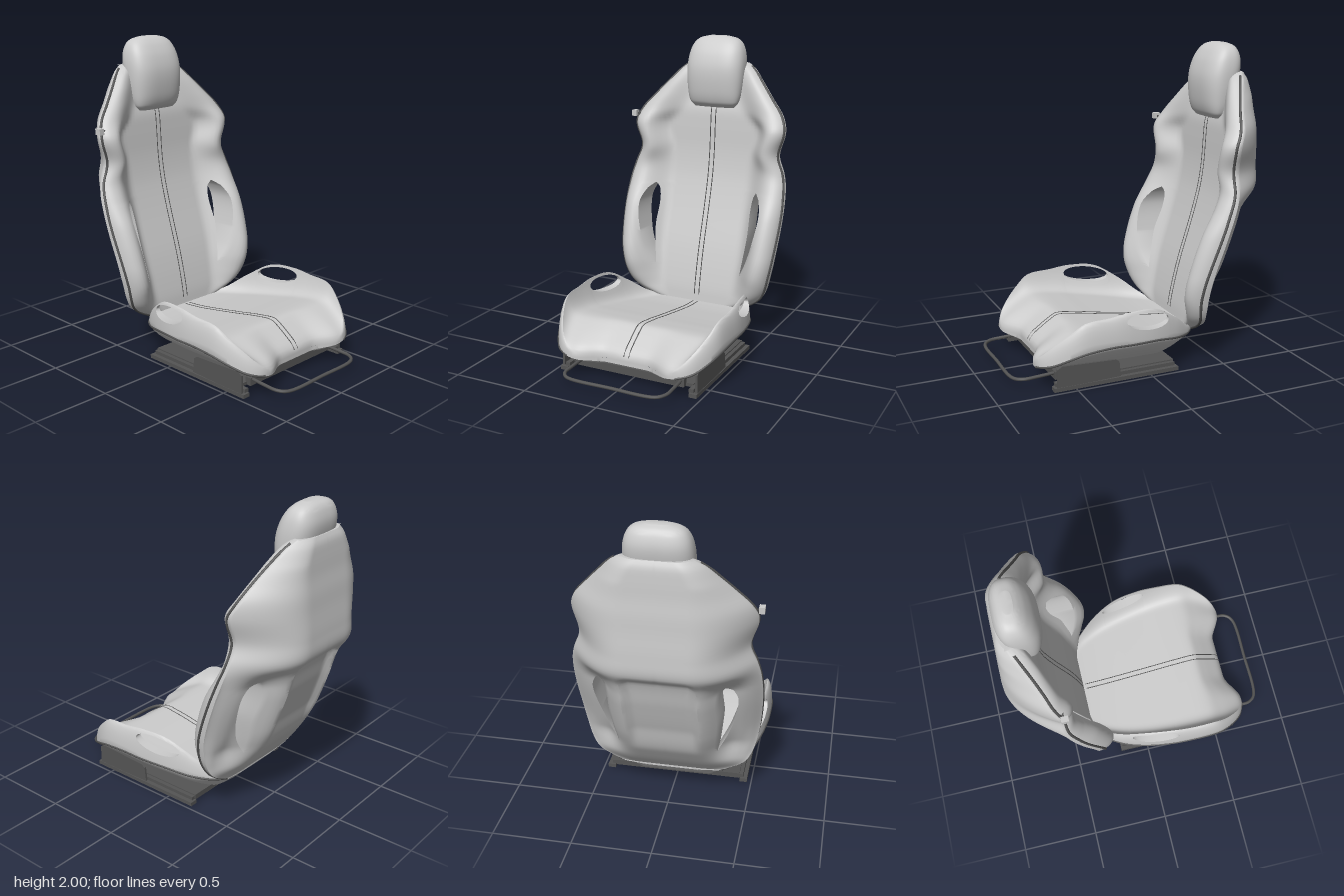
import * as THREE from 'three';
import { toCreasedNormals } from 'three/addons/utils/BufferGeometryUtils.js';

const { sin, cos, sqrt, min, max, pow, PI } = Math;
const range = (n, f) => Array.from({ length: n }, (_, i) => f(i / (n - 1)));
const lerp = THREE.MathUtils.lerp, clamp = THREE.MathUtils.clamp;
const step = (x, a, b) => THREE.MathUtils.smoothstep(x, a, b);

const grey = new THREE.MeshStandardMaterial({ color: 0xcccccc });
const dark = new THREE.MeshStandardMaterial({ color: 0x555555 });

// Smooth interpolation of a key table; the first column is the parameter, ascending.
function sample(keys, v) {
  v = clamp(v, keys[0][0], keys[keys.length - 1][0]);
  let k = 0;
  while (k < keys.length - 2 && v > keys[k + 1][0]) k++;
  const p = keys[k], q = keys[k + 1], h = q[0] - p[0], t = (v - p[0]) / h;
  const slope = (i, c) => {
    const a = keys[max(i - 1, 0)], b = keys[min(i + 1, keys.length - 1)];
    return (b[c] - a[c]) / (b[0] - a[0]);
  };
  return p.map((_, c) => {
    const t2 = t * t, t3 = t2 * t;
    return (2 * t3 - 3 * t2 + 1) * p[c] + (t3 - 2 * t2 + t) * h * slope(k, c)
      + (3 * t2 - 2 * t3) * q[c] + (t3 - t2) * h * slope(k + 1, c);
  });
}

// Mirrored closed shell from half cross-sections. The ends are closed by flattening along the given axis.
// Columns a..a+1 and c..c+1 may open into a through hole.
function shell(sections, axis, a = -1, c = -1, crease = 0.75) {
  const flat = (R) => {
    const mid = (R[0][axis] + R[R.length - 1][axis]) / 2;
    return R.map((p) => p.map((v, i) => (i === axis ? mid : v)));
  };
  const rows = [flat(sections[0]), ...sections, flat(sections[sections.length - 1])];
  const pos = [], m = rows[0].length;
  const A = new THREE.Vector3(), B = new THREE.Vector3(), C = new THREE.Vector3();
  const tri = (p, q, r) => {
    A.fromArray(p); B.fromArray(q).sub(A); C.fromArray(r).sub(A);
    if (B.cross(C).length() < 1e-9) return;
    pos.push(...p, ...q, ...r);
    for (const v of [p, r, q]) pos.push(-v[0], v[1], v[2]);
  };
  const gap = (R) => A.fromArray(R[a]).distanceTo(B.fromArray(R[a + 1])) > 1e-4;
  for (let j = 0; j < rows.length - 1; j++) {
    const R = rows[j], S = rows[j + 1];
    const span = (i, k) => { tri(R[i], R[k], S[k]); tri(R[i], S[k], S[i]); };
    for (let i = 0; i < m - 1; i++) if (a < 0 || (i !== a && i !== c)) span(i, i + 1);
    if (a >= 0 && (gap(R) || gap(S))) { span(a, c + 1); span(c, a + 1); }
  }
  const g = new THREE.BufferGeometry();
  g.setAttribute('position', new THREE.Float32BufferAttribute(pos, 3));
  return toCreasedNormals(g, crease);
}

// Backrest: y, half width, centre front, bolster front, edge, back, bolster start
const BACK = [
  [0.205, 0.33, -0.357, -0.35, -0.365, -0.375, 0.22],
  [0.28, 0.46, -0.365, -0.30, -0.37, -0.44, 0.24],
  [0.36, 0.515, -0.38, -0.265, -0.36, -0.50, 0.25],
  [0.47, 0.545, -0.405, -0.24, -0.36, -0.575, 0.26],
  [0.60, 0.565, -0.44, -0.255, -0.38, -0.645, 0.27],
  [0.84, 0.58, -0.515, -0.335, -0.46, -0.735, 0.27],
  [1.02, 0.572, -0.565, -0.435, -0.525, -0.79, 0.27],
  [1.12, 0.55, -0.585, -0.475, -0.555, -0.85, 0.27],
  [1.24, 0.508, -0.60, -0.47, -0.57, -0.855, 0.28],
  [1.40, 0.55, -0.61, -0.475, -0.56, -0.845, 0.31],
  [1.50, 0.515, -0.62, -0.53, -0.60, -0.84, 0.21],
  [1.60, 0.43, -0.65, -0.575, -0.64, -0.83, 0.14],
  [1.70, 0.34, -0.68, -0.62, -0.69, -0.825, 0.10],
  [1.785, 0.26, -0.71, -0.67, -0.735, -0.817, 0.08],
  [1.82, 0.205, -0.74, -0.715, -0.755, -0.80, 0.06],
];
// Side slot: y, inner edge, outer edge
const SLOT = [
  [0.43, 0.315, 0.315], [0.55, 0.33, 0.375], [0.70, 0.345, 0.422],
  [0.86, 0.34, 0.445], [0.95, 0.352, 0.415], [0.985, 0.375, 0.375],
];
function backRow(y) {
  const [, W, Fc, Fp, E, Bc, xb] = sample(BACK, y);
  let [, xin, xout] = sample(SLOT, y);
  if (y <= 0.43 || y >= 0.985) xin = xout = min(xin, 0.7 * W);
  const front = (x) => {
    const xp = 0.84 * W;
    if (x < xp) return lerp(Fc, Fp, step(x, xb, xp));
    return E + (Fp - E) * sqrt(max(0, 1 - ((x - xp) / (W - xp)) ** 2));
  };
  const plateau = min(0.18, 0.5 * W), power = lerp(1.25, 0.95, step(y, 0.95, 1.15));
  const back = (x) => {
    const t = max(0, x - plateau) / (W - plateau), round = pow(max(0, 1 - t * t), power);
    const dent = 0.07 * Math.exp(-(((x - 0.38) / 0.09) ** 2)) * step(y, 0.3, 0.48) * (1 - step(y, 0.93, 1.1));
    const pocket = 0.04 * (1 - step(x, 0.17, 0.23)) * step(y, 0.42, 0.65) * (1 - step(y, 1.03, 1.1));
    return E + (Bc - E) * round + (dent + pocket) * min(1, 4 * round);
  };
  const inner = range(16, (t) => t * xin);
  const outer = range(13, (t) => lerp(xout, W, sin(t * PI / 2)));
  const xs = [...inner, ...outer];
  return [...xs.map((x) => [x, y, front(x)]), ...xs.reverse().map((x) => [x, y, back(x)])];
}

// Cushion: z, half width, centre top, bolster top, side seam, bottom
const SEAT = [
  [-0.36, 0.31, 0.205, 0.212, 0.195, 0.18], [-0.30, 0.385, 0.208, 0.25, 0.20, 0.12],
  [-0.18, 0.47, 0.22, 0.345, 0.22, 0.04], [-0.02, 0.53, 0.245, 0.44, 0.25, 0.045],
  [0.16, 0.56, 0.275, 0.455, 0.26, 0.055], [0.30, 0.567, 0.30, 0.44, 0.265, 0.06],
  [0.46, 0.56, 0.315, 0.425, 0.25, 0.07], [0.55, 0.535, 0.285, 0.36, 0.22, 0.08],
  [0.65, 0.475, 0.235, 0.27, 0.17, 0.09], [0.70, 0.42, 0.20, 0.21, 0.15, 0.10],
  [0.72, 0.37, 0.17, 0.175, 0.14, 0.115],
];
// Front edge is set back between the thighs
const notch = (x, z) => z - 0.08 * (1 - step(x, 0.14, 0.33)) * step(z, 0.35, 0.72);
function seatRow(z) {
  const [, W, yc, yp, yo, yb] = sample(SEAT, z);
  const x0 = 0.68 * W, xp = 0.93 * W, xb = 0.5 * W;
  const u = (z - 0.045) / 0.155, mid = 0.383 + 0.12 * (z - 0.045);
  const half = 0.052 * sqrt(max(0, 1 - u * u));
  const frac = (y) => clamp((y - yc) / (yp - yc), 0.3, 0.93);
  const gl = frac(mid - half), gh = half < 1e-4 ? gl : frac(mid + half);
  const xAt = (g) => x0 + (xp - x0) * pow(g, 0.25);
  const top = (x) => [x, yc + (yp - yc) * pow(clamp((x - x0) / (xp - x0), 0, 1), 4)];
  const aAt = (g) => Math.asin(clamp((yc + g * (yp - yc) - yo) / (yp - yo), 0, 1));
  const side = (a) => [xp + (W - xp) * cos(a), yo + (yp - yo) * sin(a)];
  const under = (a) => [xb + (W - xb) * cos(a) ** 2, yo + (yb - yo) * pow(sin(a), 1.4)];
  return [
    ...range(22, (t) => top(sqrt(t) * xAt(gl))),
    ...range(6, (t) => top(lerp(xAt(gh), xp, t))),
    ...range(6, (t) => side(lerp(PI / 2, aAt(gh), t))),
    ...range(6, (t) => side(lerp(aAt(gl), 0, t))),
    ...range(8, (t) => under(t * PI / 2)),
    ...range(8, (t) => [xb * (1 - t), yb]),
  ].map(([x, y]) => [x, y, notch(x, z)]);
}

// Headrest: y, half width, front, back
const HEAD = [
  [1.525, 0.145, -0.60, -0.66], [1.56, 0.175, -0.568, -0.70], [1.65, 0.195, -0.545, -0.75],
  [1.78, 0.203, -0.54, -0.785], [1.88, 0.195, -0.565, -0.80], [1.95, 0.17, -0.605, -0.785],
  [1.985, 0.13, -0.64, -0.76], [2.0, 0.07, -0.665, -0.73],
];
function headRow(y) {
  const [, w, f, b] = sample(HEAD, y);
  return range(26, (t) => {
    const s = sin(t * PI), c = cos(t * PI);
    return [w * pow(max(0, s), 0.65), y, (f + b) / 2 + (f - b) / 2 * Math.sign(c) * pow(Math.abs(c), 0.75)];
  });
}

export function createModel() {
  const model = new THREE.Group();
  const add = (name, geo, mat = grey) => {
    const mesh = new THREE.Mesh(geo, mat);
    mesh.name = name;
    model.add(mesh);
    return mesh;
  };
  const tube = (name, pts, r) => add(name, new THREE.TubeGeometry(
    new THREE.CatmullRomCurve3(pts.map((p) => new THREE.Vector3(...p))), 90, r, 7), dark);
  const box = (name, w, h, d, x, y, z, mat = dark) =>
    add(name, new THREE.BoxGeometry(w, h, d), mat).position.set(x, y, z);
  const outline = (Type, pts) => new Type(pts.map((p) => new THREE.Vector2(...p)));

  // Upholstered bodies
  const backRows = [
    ...range(14, (t) => lerp(0.205, 0.43, t)),
    ...range(34, (t) => lerp(0.43, 0.985, t)).slice(1),
    ...range(46, (t) => lerp(0.985, 1.82, t)).slice(1),
  ].map(backRow);
  add('backrest', shell(backRows, 2, 15, 41));
  const seatRows = [
    ...range(28, (t) => lerp(0.72, 0.2, t * t * 0.4 + t * 0.6)),
    ...range(25, (t) => 0.045 + 0.155 * cos(t * PI)).slice(1),
    ...range(14, (t) => lerp(-0.11, -0.36, t)).slice(1),
  ].map(seatRow);
  add('seatCushion', shell(seatRows, 1, 21, 33));
  add('headrest', shell(range(44, (t) => headRow(lerp(1.525, 2, (1 - cos(t * PI)) / 2))), 2, -1, -1, 1.2));

  // Piping, centre seams and rails on both sides
  const third = (rows) => rows.filter((_, i) => i % 3 === 0);
  const panel = outline(THREE.Shape,
    [[0.62, 0.02], [0.62, 0.14], [0.59, 0.158], [0.24, 0.143], [0.215, 0.125], [0.205, 0.03]]);
  for (const s of [1, -1]) {
    const flip = ([x, y, z]) => [s * x, y, z];
    tube('backPiping', third(backRows).map((r) => flip(r[26])), 0.009);
    tube('cushionPiping', third(seatRows).map((r) => flip(r[39])), 0.007);
    const off = s * 0.017;
    tube('backSeam', range(20, (t) => {
      const y = lerp(0.25, 1.55, t);
      return [off, y, sample(BACK, y)[2]];
    }), 0.003);
    tube('cushionSeam', third(seatRows).map((r) => [off, r[0][1], r[0][2]]), 0.003);
    box('floorRail', 0.05, 0.025, 0.83, s * 0.447, 0.0125, 0.225);
    box('slideRail', 0.03, 0.025, 0.8, s * 0.43, 0.035, 0.225);
    const cover = new THREE.ExtrudeGeometry(panel, { depth: 0.014, bevelEnabled: false }).rotateY(-PI / 2);
    add('railCover', cover, dark).position.x = s * 0.462 + 0.007;
  }

  // Base pan with its opening, cross bars and adjuster handle
  const pan = outline(THREE.Shape, [[-0.42, -0.57], [0.42, -0.57], [0.42, 0.18], [-0.42, 0.18]]);
  pan.holes.push(outline(THREE.Path, [[-0.27, -0.48], [-0.27, 0.02], [0.27, 0.02], [0.27, -0.48]]));
  add('basePan', new THREE.ExtrudeGeometry(pan, { depth: 0.02, bevelEnabled: false }).rotateX(-PI / 2), dark).position.y = 0.035;
  box('frontCrossBar', 0.74, 0.05, 0.04, 0, 0.06, 0.58);
  box('rearCrossBar', 0.84, 0.03, 0.04, 0, 0.035, -0.16);
  tube('adjusterHandle', [[-0.345, 0.075, 0.55], [-0.35, 0.068, 0.7], [-0.345, 0.064, 0.79], [-0.3, 0.06, 0.838], [0, 0.06, 0.85],
    [0.3, 0.06, 0.838], [0.345, 0.064, 0.79], [0.35, 0.068, 0.7], [0.345, 0.075, 0.55]], 0.011);

  // Belt guide on the right shoulder
  box('beltGuide', 0.035, 0.04, 0.045, -0.56, 1.455, -0.53, grey);
  box('beltGuideStem', 0.05, 0.018, 0.02, -0.535, 1.45, -0.54);
  return model;
}
